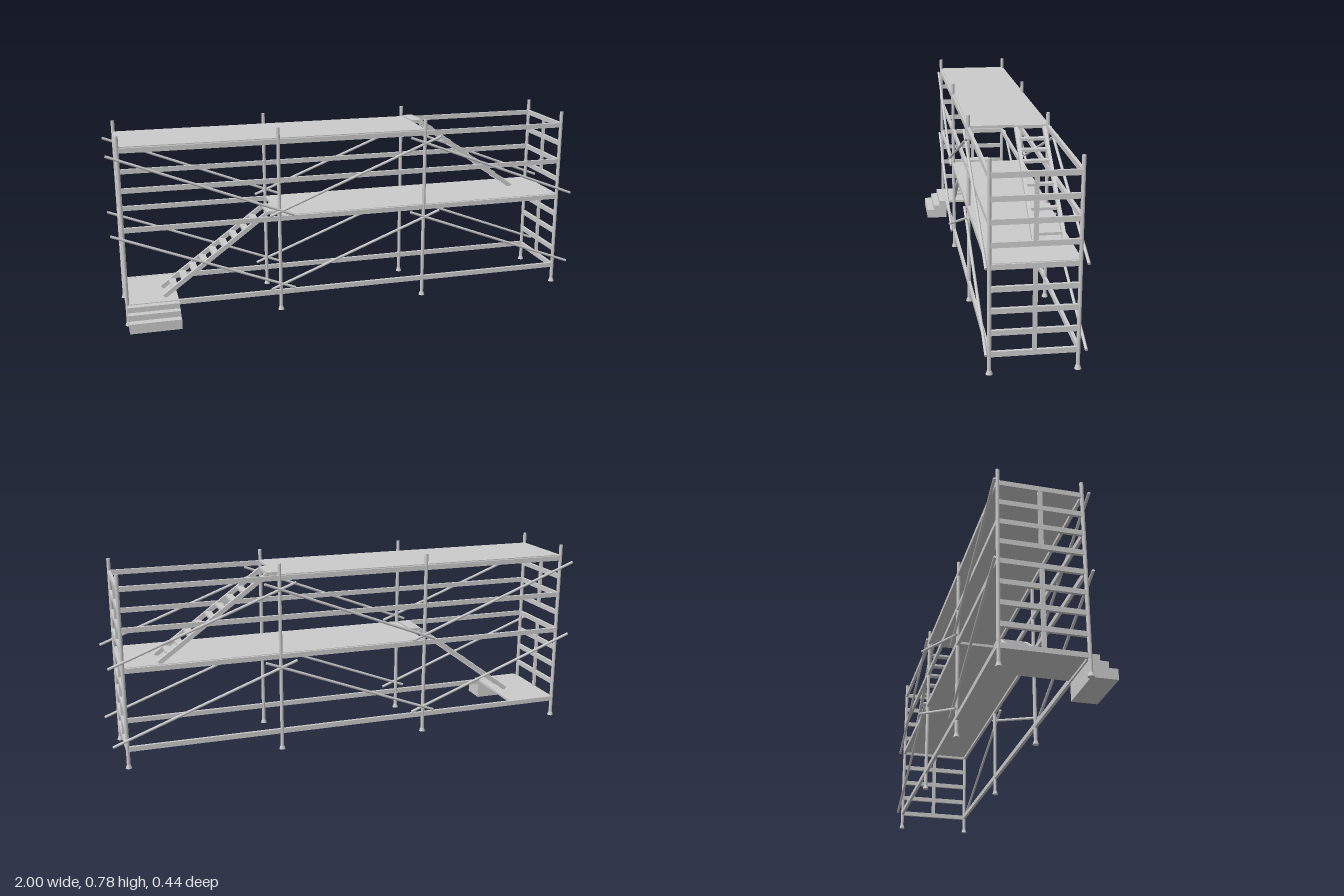
import * as THREE from 'three';

const ZF = 0.125, ZB = -0.192, ZM = (ZF + ZB) / 2;
const POSTS = [-0.953, -0.318, 0.313, 0.943];

export function createModel() {
  const root = new THREE.Group();
  root.name = 'scaffold';
  const mat = new THREE.MeshStandardMaterial({ color: 0xcccccc });

  const add = (name, geo, parent = root) => {
    const m = new THREE.Mesh(geo, mat);
    m.name = name;
    parent.add(m);
    return m;
  };
  // Box given by its extents on each axis
  const box = (name, x0, x1, y0, y1, z0, z1, parent) => {
    const m = add(name, new THREE.BoxGeometry(x1 - x0, y1 - y0, z1 - z0), parent);
    m.position.set((x0 + x1) / 2, (y0 + y1) / 2, (z0 + z1) / 2);
    return m;
  };
  // Round bar between two points
  const bar = (name, a, b, r) => {
    const p = new THREE.Vector3(...a), q = new THREE.Vector3(...b);
    const d = q.clone().sub(p);
    const m = add(name, new THREE.CylinderGeometry(r, r, d.length(), 12));
    m.position.copy(p).add(q).multiplyScalar(0.5);
    m.quaternion.setFromUnitVectors(new THREE.Vector3(0, 1, 0), d.normalize());
  };

  // Uprights with flared feet
  for (const x of POSTS) for (const z of [ZF, ZB]) {
    bar('post', [x, 0.01, z], [x, 0.785, z], 0.0075);
    const foot = add('postFoot', new THREE.CylinderGeometry(0.0075, 0.013, 0.016, 12));
    foot.position.set(x, 0.008, z);
  }

  // Long rails on both sides
  for (const z of [ZF, ZB]) for (const y of [0.08, 0.403, 0.565, 0.727])
    box('longRail', POSTS[0], POSTS[3], y - 0.01, y + 0.01, z - 0.006, z + 0.006);

  // End frames: rungs and a central stile in each storey
  for (const x of [POSTS[0], POSTS[3]]) {
    for (const y of [0.077, 0.158, 0.24, 0.321, 0.403, 0.482, 0.564, 0.645, 0.727])
      box('endRung', x - 0.006, x + 0.006, y - 0.01, y + 0.01, ZB, ZF);
    box('endStile', x - 0.005, x + 0.005, 0.08, 0.4, -0.043, -0.027);
    box('endStile', x - 0.005, x + 0.005, 0.482, 0.727, -0.043, -0.027);
  }

  // Decks
  box('upperDeck', POSTS[0], 0.318, 0.73, 0.741, ZB + 0.004, ZF - 0.004);
  box('middleDeck', POSTS[1], POSTS[3], 0.404, 0.415, ZB + 0.004, ZF - 0.004);
  box('entryDeck', POSTS[0], -0.745, 0.079, 0.089, ZB + 0.004, ZF - 0.004);

  // Diagonal braces, zigzagging along each side and storey
  const runs = [[-1, -0.26], [0.38, -0.36], [0.25, 1]];  // [high x, low x]
  for (const [top, low] of [[0.71, 0.42], [0.386, 0.1]])
    for (const [zh, zl] of [[0.135, 0.143], [-0.215, -0.207]])
      for (const [xh, xl] of runs)
        bar('diagonalBrace', [xh, top, zh], [xl, low, zl], 0.0058);

  // Inclined ladder: two stringers, flat treads and a landing hook
  const ladder = (name, xLow, yLow, xHigh, yHigh, xHook, z0, z1) => {
    const g = new THREE.Group();
    g.name = name;
    root.add(g);
    const dx = xHigh - xLow, dy = yHigh - yLow;
    for (const z of [z0 + 0.007, z1 - 0.007]) {
      const s = add('stringer', new THREE.BoxGeometry(Math.hypot(dx, dy), 0.018, 0.014), g);
      s.position.set((xLow + xHigh) / 2, (yLow + yHigh) / 2, z);
      s.rotation.z = Math.atan(dy / dx);
    }
    for (let i = 1; i <= 9; i++) {
      const x = xLow + dx * i / 10, y = yLow + dy * i / 10;
      box('tread', x - 0.014, x + 0.014, y - 0.005, y + 0.005, z0 + 0.012, z1 - 0.012, g);
    }
    box('landingHook', Math.min(xHigh, xHook), Math.max(xHigh, xHook),
      yHigh - 0.002, yHigh + 0.011, z0, z1, g);
  };
  ladder('lowerLadder', -0.8, 0.092, -0.365, 0.412, -0.315, -0.04, 0.085);
  ladder('upperLadder', 0.8, 0.416, 0.36, 0.737, 0.315, -0.175, -0.05);

  // Entry steps, extruded from their side profile
  const p = [[0.125, 0], [0.223, 0], [0.223, 0.041], [0.19, 0.041],
    [0.19, 0.065], [0.16, 0.065], [0.16, 0.087], [0.125, 0.087]];
  const shape = new THREE.Shape(p.map(([z, y]) => new THREE.Vector2(-z, y)));
  const steps = add('entrySteps', new THREE.ExtrudeGeometry(shape, { depth: 0.208, bevelEnabled: false }));
  steps.rotation.y = Math.PI / 2;
  steps.position.x = -0.953;

  return root;
}
